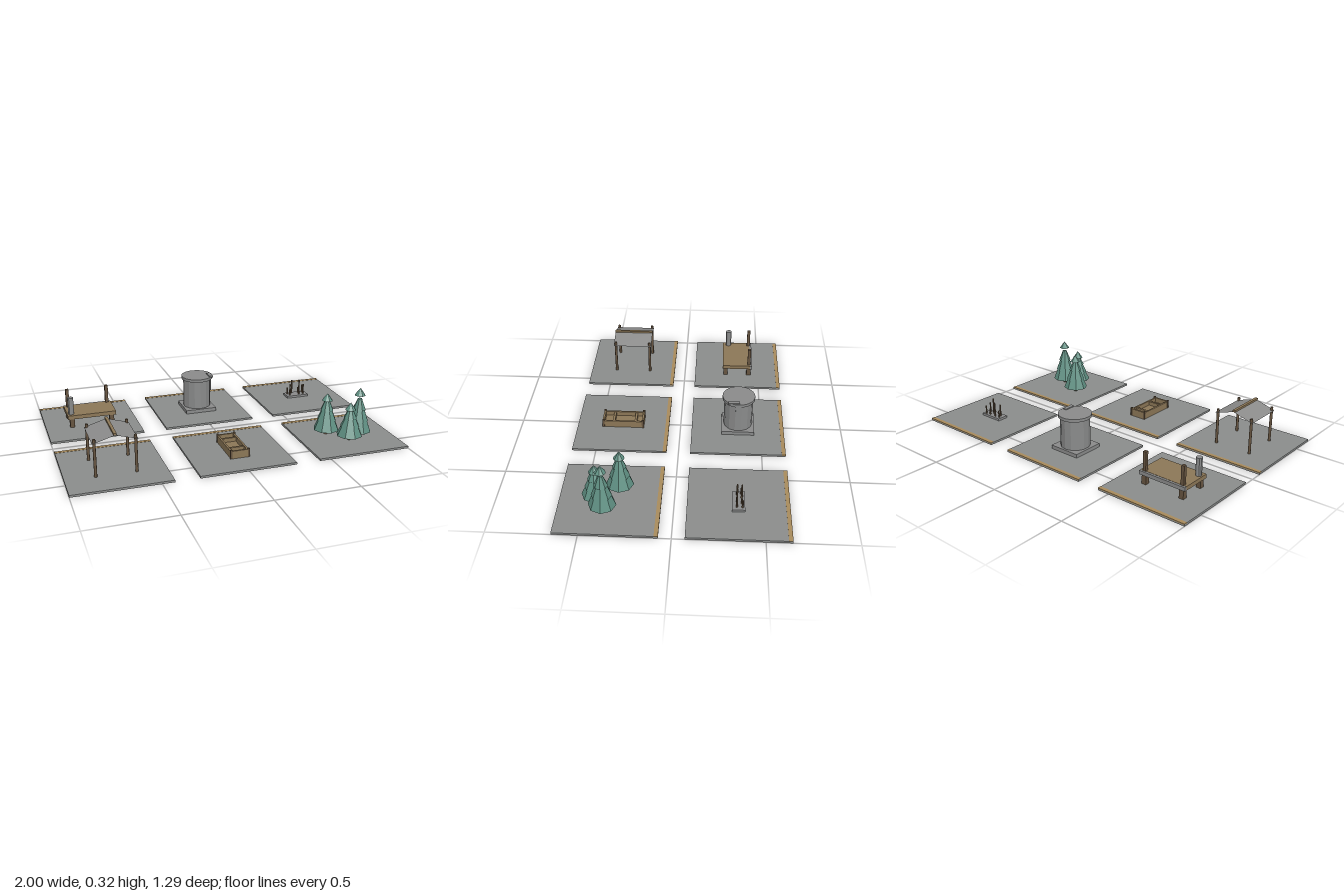
import * as THREE from 'three';

function mat(name, color, extra = {}) {
  const m = new THREE.MeshStandardMaterial({ color, ...extra });
  m.name = name;
  return m;
}

export function createModel() {
  const stone = mat('ground grey', 0x8b8d8c);
  const metal = mat('metal grey', 0x8a8b8b, { flatShading: true });
  const cloth = mat('canopy grey', 0x8c8c8b, { side: THREE.DoubleSide });
  const wood = mat('wood', 0x8c7757);
  const darkWood = mat('dark wood', 0x665440);
  const edge = mat('edge tan', 0xa88b5c);
  const leaf = mat('foliage green', 0x5f8f82, { flatShading: true });

  const root = new THREE.Group();
  root.name = 'siteSet';
  const set = new THREE.Group();
  set.name = 'stations';
  set.scale.setScalar(1 / 7); // laid out on a 14 unit wide grid
  root.add(set);

  const add = (parent, name, geo, material, x, y, z) => {
    const m = new THREE.Mesh(geo, material);
    m.name = name;
    m.position.set(x, y, z);
    parent.add(m);
    return m;
  };
  // box given by its limits on each axis
  const box = (parent, name, material, [x0, x1], [y0, y1], [z0, z1]) =>
    add(parent, name, new THREE.BoxGeometry(x1 - x0, y1 - y0, z1 - z0), material,
      (x0 + x1) / 2, (y0 + y1) / 2, (z0 + z1) / 2);
  // upright cylinder or frustum from y0 to y1
  const round = (parent, name, material, x, z, y0, y1, rBottom, rTop, sides) =>
    add(parent, name, new THREE.CylinderGeometry(rTop, rBottom, y1 - y0, sides), material,
      x, (y0 + y1) / 2, z);
  const corners = (fn) => { for (const sx of [-1, 1]) for (const sz of [-1, 1]) fn(sx, sz); };

  // square ground plate with a tan strip along the back edge
  const station = (name, col, row) => {
    const g = new THREE.Group();
    g.name = name;
    g.position.set(col * 5, 0, row * 2.5);
    box(g, 'groundPlate', stone, [-2, 2], [0, 0.09], [-2, 2]);
    box(g, 'backStrip', edge, [-2, 2], [0.06, 0.1], [-2.002, -1.84]);
    set.add(g);
    return g;
  };

  // raised deck with legs, two back posts and a barrel
  const deck = station('deckStation', -1, -1);
  box(deck, 'deckBoard', wood, [-1.06, 1.06], [0.48, 0.65], [-0.6, 0.69]);
  box(deck, 'deckBackTrim', metal, [-1.06, 1.06], [0.48, 0.64], [-0.7, -0.6]);
  corners((sx, sz) => box(deck, 'deckLeg', darkWood,
    [sx * 0.87 - 0.1, sx * 0.87 + 0.1], [0.09, 0.48], [sz * 0.55 - 0.1, sz * 0.55 + 0.1]));
  for (const s of [-1, 1]) {
    box(deck, 'backPost', darkWood, [s * 0.88 - 0.07, s * 0.88 + 0.07], [0.6, 1.45], [-0.62, -0.48]);
  }
  round(deck, 'barrel', metal, -0.88, 0.43, 0.65, 1.4, 0.13, 0.13, 10);

  // round tank on a square foot
  const tank = station('tankStation', 0, -1);
  box(tank, 'tankFoot', metal, [-0.7, 0.7], [0.09, 0.25], [-0.7, 0.7]);
  round(tank, 'tankBody', metal, 0, 0, 0.25, 1.55, 0.62, 0.62, 14);
  round(tank, 'tankLid', metal, 0, 0, 1.54, 1.67, 0.7, 0.7, 28);
  box(tank, 'lidHandle', metal, [0.47, 0.64], [1.64, 1.71], [-0.03, 0.46]);
  box(tank, 'sidePanel', metal, [0.55, 0.65], [0.92, 1.6], [-0.1, 0.13]);

  // small slab with upright stakes
  const stakes = station('stakeStation', 1, -1);
  box(stakes, 'stakeSlab', metal, [-0.53, 0.53], [0.09, 0.19], [-0.25, 0.25]);
  [[-0.4, -0.1, 0.5], [-0.33, 0.06, 0.72], [-0.17, -0.12, 0.85], [0.13, 0.07, 0.9],
    [0.16, -0.12, 0.45], [0.35, 0.07, 0.65], [0.38, -0.15, 0.55]].forEach(([x, z, top]) =>
    round(stakes, 'stake', darkWood, x, z, 0.19, top, 0.04, 0.03, 6));

  // cloth canopy on four poles with a ridge beam
  const canopy = station('canopyStation', -1, 1);
  const slope = new THREE.BufferGeometry();
  const roof = [];
  for (const [x, y] of [[-0.89, 1.48], [0, 1.74], [0.89, 1.48]]) roof.push(x, y, 0.89, x, y, -0.89);
  slope.setAttribute('position', new THREE.Float32BufferAttribute(roof, 3));
  slope.setIndex([0, 2, 1, 2, 3, 1, 2, 4, 3, 4, 5, 3]);
  const flat = slope.toNonIndexed();
  flat.computeVertexNormals();
  add(canopy, 'canopyCloth', flat, cloth, 0, 0, 0);
  box(canopy, 'ridgeBeam', wood, [-0.06, 0.06], [1.74, 1.82], [-0.89, 0.89]);
  corners((sx, sz) => round(canopy, 'canopyPole', darkWood, sx * 0.8, sz * 0.8, 0.09, 1.64, 0.06, 0.06, 8));

  // open wooden trough divided by two cross boards
  const trough = station('troughStation', 0, 1);
  box(trough, 'troughFloor', wood, [-0.34, 0.34], [0.09, 0.2], [-0.84, 0.84]);
  for (const s of [-1, 1]) {
    box(trough, 'sideBoard', wood, [s * 0.35 - 0.04, s * 0.35 + 0.04], [0.09, 0.4], [-0.86, 0.86]);
    box(trough, 'endBoard', wood, [-0.38, 0.38], [0.09, 0.42], [s * 0.86 - 0.04, s * 0.86 + 0.04]);
  }
  for (const z of [-0.54, 0.41]) {
    box(trough, 'crossBoard', wood, [-0.31, 0.31], [0.2, 0.37], [z - 0.05, z + 0.05]);
  }
  corners((sx, sz) => box(trough, 'cornerPost', darkWood,
    [sx * 0.37 - 0.04, sx * 0.37 + 0.04], [0.09, 0.46], [sz * 0.86 - 0.045, sz * 0.86 + 0.045]));

  // three tiered conifers: x, z, top of body, base of tip
  const grove = station('treeStation', 1, 1);
  [[-0.65, -0.32, 1.62, 1.6], [0, 0.57, 1.46, 1.42], [0.58, 0.24, 1.74, 1.89]].forEach(([x, z, top, tip]) => {
    const tree = new THREE.Group();
    tree.name = 'tree';
    tree.position.set(x, 0, z);
    grove.add(tree);
    round(tree, 'trunk', darkWood, 0, 0, 0.09, 0.4, 0.09, 0.08, 8);
    const h = (top - 0.3) / 3;
    [[0.55, 0.37], [0.41, 0.23], [0.28, 0.09]].forEach(([r0, r1], i) =>
      round(tree, 'foliageTier', leaf, 0, 0, 0.3 + i * h, 0.3 + (i + 1) * h, r0, r1, 8));
    round(tree, 'treeTip', leaf, 0, 0, tip, tip + 0.32, 0.23, 0, 8);
  });

  return root;
}
